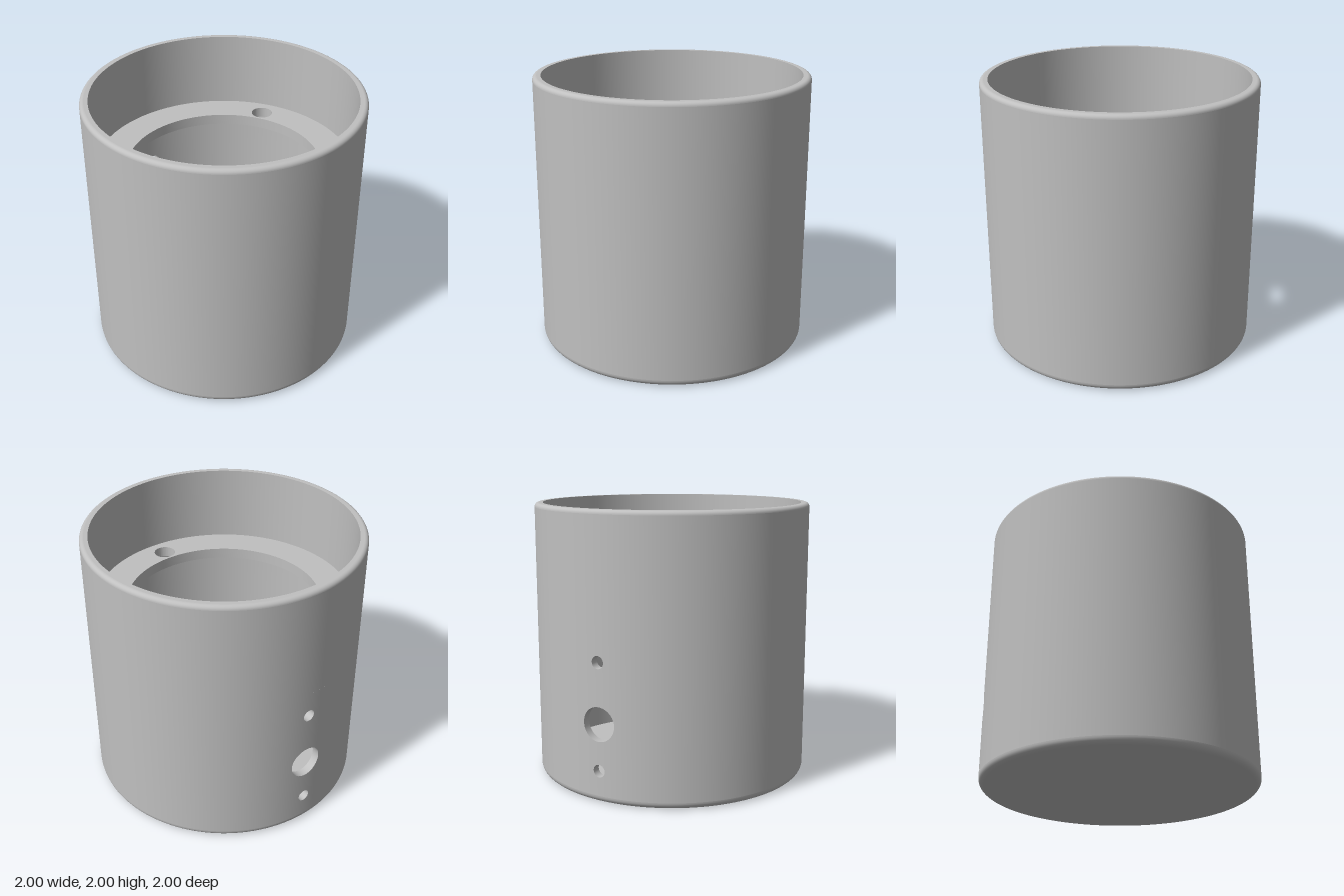
import * as THREE from 'three';
import { toCreasedNormals } from 'three/addons/utils/BufferGeometryUtils.js';
import { ParametricGeometry } from 'three/addons/geometries/ParametricGeometry.js';

const SEGMENTS = 128;
const OUTER = 1, INNER = 0.94;
const FLOOR = 0.06, LEDGE_BOTTOM = 1.36, LEDGE_TOP = 1.44;
const BOTTOM_FILLET = 0.05, TOP_FILLET = 0.03;

// Sector of the wall, centred on -x, that carries the side holes
const SECTOR = 3 * (2 * Math.PI / SEGMENTS);
const SECTOR_LOW = 0.08, SECTOR_HIGH = 1.18;
const sideHoles = [
  { name: 'lowerScrewHole', y: 0.23, r: 0.045, low: SECTOR_LOW, high: 0.4 },
  { name: 'cableHole', y: 0.56, r: 0.122, low: 0.4, high: 0.8 },
  { name: 'upperScrewHole', y: 0.99, r: 0.045, low: 0.8, high: SECTOR_HIGH },
];

export function createModel() {
  const model = new THREE.Group();
  model.name = 'housing';
  const grey = new THREE.MeshStandardMaterial({ color: 0xc0c0c0 });
  grey.name = 'grey';

  const add = (name, geometry, parent = model) => {
    const mesh = new THREE.Mesh(geometry, grey);
    mesh.name = name;
    parent.add(mesh);
  };

  // Revolved surface; rising profiles face outwards
  const revolve = (name, points, open = false) => {
    const profile = points.map(([r, y]) => new THREE.Vector2(r, y));
    const start = 1.5 * Math.PI + SECTOR;
    add(name, open
      ? new THREE.LatheGeometry(profile, SEGMENTS - 6, start, 2 * Math.PI - 2 * SECTOR)
      : new THREE.LatheGeometry(profile, SEGMENTS, start));
  };

  // Quarter circle of profile points
  const fillet = (cx, cy, r, from) => Array.from({ length: 9 }, (_, i) => {
    const a = from + (i / 8) * Math.PI / 2;
    return [cx + r * Math.cos(a), cy + r * Math.sin(a)];
  });

  // Outer shell
  revolve('base', [[0, 0], [OUTER - BOTTOM_FILLET, 0]]);
  revolve('bottomEdge', fillet(OUTER - BOTTOM_FILLET, BOTTOM_FILLET, BOTTOM_FILLET, -Math.PI / 2));
  revolve('outerWallFoot', [[OUTER, BOTTOM_FILLET], [OUTER, SECTOR_LOW]]);
  revolve('outerWallLower', [[OUTER, SECTOR_LOW], [OUTER, SECTOR_HIGH]], true);
  revolve('outerWallUpper', [[OUTER, SECTOR_HIGH], [OUTER, 2 - TOP_FILLET]]);
  revolve('topEdge', fillet(OUTER - TOP_FILLET, 2 - TOP_FILLET, TOP_FILLET, 0));
  revolve('rim', [[OUTER - TOP_FILLET, 2], [INNER, 2]]);

  // Inner shell
  revolve('innerWallUpper', [[INNER, 2], [INNER, SECTOR_HIGH]]);
  revolve('innerWallLower', [[INNER, SECTOR_HIGH], [INNER, SECTOR_LOW]], true);
  revolve('innerWallFoot', [[INNER, SECTOR_LOW], [INNER, FLOOR]]);
  revolve('floor', [[INNER, FLOOR], [0, FLOOR]]);

  // Wall patches around the side holes, and the bores through the wall
  const onWall = (R, y, z, target) => target.set(-Math.sqrt(R * R - z * z), y, z);
  for (const hole of sideHoles) {
    const group = new THREE.Group();
    group.name = hole.name;
    model.add(group);

    const patch = (R, turn) => new ParametricGeometry((u, v, target) => {
      const t = turn * 2 * Math.PI * u;
      const c = Math.cos(t), s = Math.sin(t);
      const k = 1 / Math.max(Math.abs(c), Math.abs(s));
      const edgeY = s > 0 ? hole.high - hole.y : hole.y - hole.low;
      const z = THREE.MathUtils.lerp(hole.r * c, R * Math.sin(SECTOR) * k * c, v);
      const y = hole.y + THREE.MathUtils.lerp(hole.r * s, edgeY * k * s, v);
      onWall(R, y, z, target);
    }, 64, 6);
    add('outerPatch', patch(OUTER, -1), group);
    add('innerPatch', patch(INNER, 1), group);
    add('bore', new ParametricGeometry((u, v, target) => {
      const t = 2 * Math.PI * u;
      onWall(THREE.MathUtils.lerp(OUTER, INNER, v),
        hole.y + hole.r * Math.sin(t), hole.r * Math.cos(t), target);
    }, 64, 1), group);
  }

  // Ring ledge with a wide opening and three screw holes
  const ring = new THREE.Shape().absarc(0, 0, INNER + 0.005, 0, 2 * Math.PI);
  const cut = (x, y, r) => ring.holes.push(new THREE.Path().absarc(x, y, r, 0, 2 * Math.PI, true));
  cut(0, 0, 0.705);
  for (let i = 0; i < 3; i++) {
    const a = i * 2 * Math.PI / 3;
    cut(0.8 * Math.cos(a), 0.8 * Math.sin(a), 0.08);
  }
  const ledge = new THREE.ExtrudeGeometry(ring, {
    depth: LEDGE_TOP - LEDGE_BOTTOM, bevelEnabled: false, curveSegments: 64,
  });
  ledge.rotateX(-Math.PI / 2).translate(0, LEDGE_BOTTOM, 0);
  add('ledge', toCreasedNormals(ledge, 0.6));

  return model;
}
